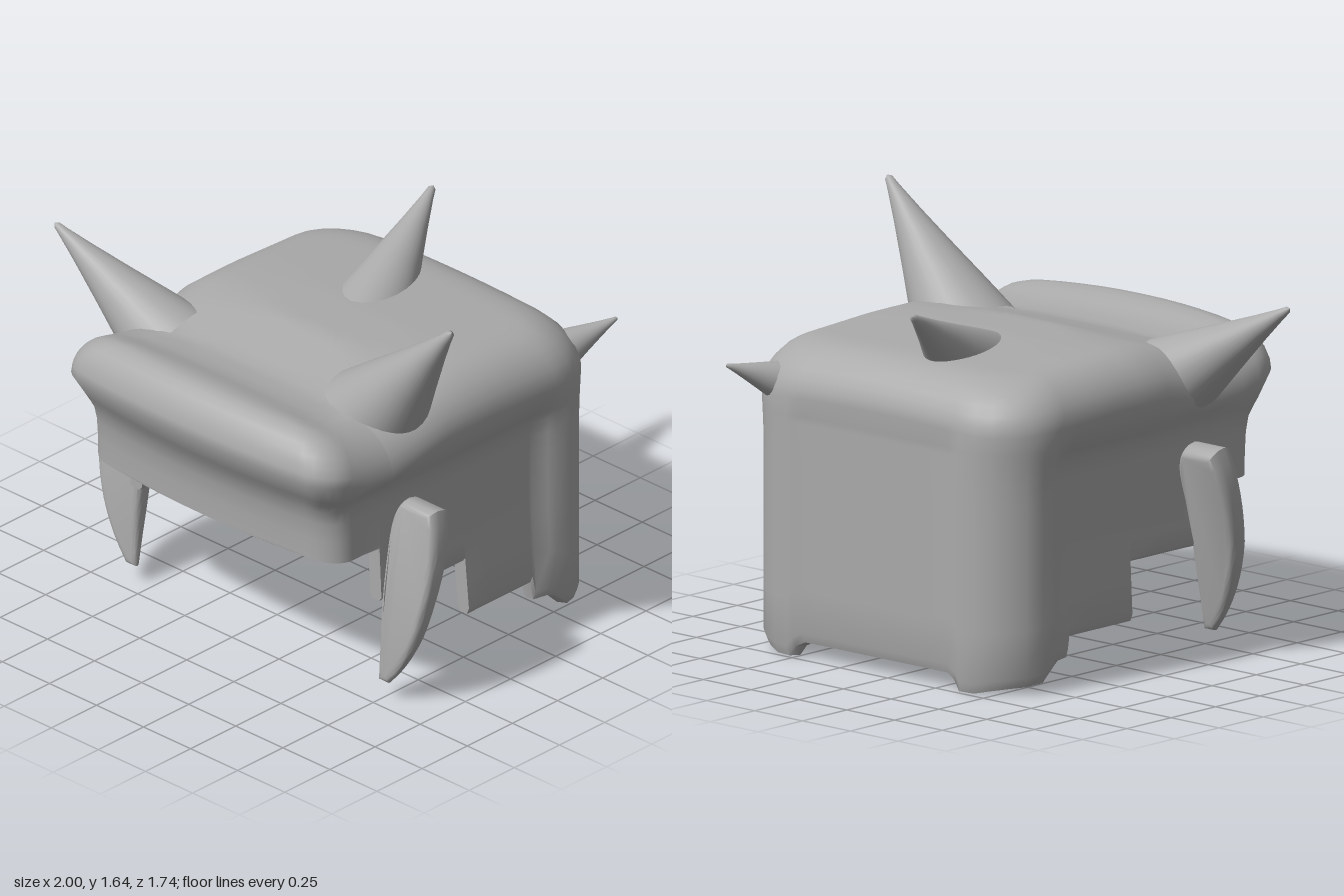
import * as THREE from 'three';
import { toCreasedNormals } from 'three/addons/utils/BufferGeometryUtils.js';

const CX = 0.09; // the helmet sits slightly off the centre line
const WALL = 0.06;

// piecewise linear curve through [t, value] pairs
function curve(pts, t) {
  if (t <= pts[0][0]) return pts[0][1];
  for (let i = 1; i < pts.length; i++) {
    const [t0, v0] = pts[i - 1], [t1, v1] = pts[i];
    if (t <= t1) return v0 + (v1 - v0) * (t - t0) / (t1 - t0);
  }
  return pts[pts.length - 1][1];
}
const smooth = THREE.MathUtils.smoothstep;

const crown = (x, z) => curve([[-0.74, 1.2], [-0.5, 1.23], [-0.1, 1.25], [0.15, 1.25], [0.3, 1.215],
  [0.45, 1.185], [0.58, 1.2], [0.7, 1.24], [0.8, 1.25], [0.87, 1.24]], z) - 0.03 * (x / 0.7) ** 2;
const browInset = y => curve([[0.65, 0.145], [0.8, 0.14], [0.88, 0.115], [0.97, 0.065], [1.05, 0.015], [1.1, 0]], y);
const sideInset = (y, z) => (0.035 + 0.025 * smooth(y, 0.1, 0.6)) * (1 - smooth(y, 0.86, 1.02)) * smooth(z, -0.52, -0.37)
  - 0.012 * (1 - smooth(z, 0.1, 0.35)) * smooth(y, 0.8, 1.05);
const backInset = (y, x) => 0.015 * (1 - smooth(y, 0.95, 1.08)) * (1 - smooth(Math.abs(x), 0.36, 0.46));
// the brow leans slightly to one side
const browShift = (y, z) => -0.02 * smooth(z, 0.3, 0.6) * (1 - smooth(y, 0.85, 1.05));

// half of the plan outline, front centre to back centre: [x, z, bottom edge height]
function halfPlan() {
  const p = [];
  for (const x of [0, 0.12, 0.24, 0.36, 0.48]) p.push([x, 0.87 - 0.13 * x * x, 0.65]);
  for (let i = 0; i <= 6; i++) {
    const a = i / 6 * Math.PI / 2;
    p.push([0.57 + 0.15 * Math.sin(a), 0.67 + 0.155 * Math.cos(a), 0.65]);
  }
  // stepped side edge
  for (const [z, b] of [[0.58, 0.65], [0.455, 0.65], [0.45, 0.42], [0.3, 0.42], [0.15, 0.42], [-0.003, 0.42],
    [-0.008, 0.19], [-0.12, 0.19], [-0.24, 0.19], [-0.36, 0.19], [-0.375, 0.11], [-0.44, 0.11]]) p.push([0.72, z, b]);
  // back corner
  [0.1, 0.04, 0.03, 0.025, 0.015, 0, 0].forEach((b, i) => {
    const a = i / 6 * Math.PI / 2;
    p.push([0.45 + 0.27 * Math.cos(a), -0.47 - 0.27 * Math.sin(a), b]);
  });
  for (const [x, b] of [[0.42, 0.04], [0.38, 0.06], [0.26, 0.06], [0.13, 0.06], [0, 0.06]]) p.push([x, -0.74, b]);
  return p;
}

// moves a plan point inward by the wall profile at height y plus an extra inset;
// frontScale squeezes everything ahead of the face plane
function wallPoint([x, z], y, extra, frontScale) {
  const px = x * (1 - (sideInset(y, z) + extra) / 0.72) + browShift(y, z);
  let pz = z;
  if (z > 0.45) pz = 0.45 + (z - 0.45) * frontScale;
  if (z < -0.3) pz = -0.3 + (z + 0.3) * (1 - (backInset(y, x) + extra) / 0.44);
  return [px, y, pz];
}

// rings of one skin, from the lower edge to the middle of the crown;
// the inner skin stops at the face plane, so the brow is solid
function skin(plan, thick) {
  const rings = [], rise = 0.17;
  const front = (y, inset) => thick ? 0.1 : 1 - (browInset(y) + inset) / 0.42;
  const wallRow = (p, y, extra) => wallPoint(p, y, extra, front(y, 0));
  for (const t of [0, 0.06, 0.35, 0.7, 1]) {
    const round = t === 0 ? (thick ? -0.012 : 0.012) : 0; // softened rim
    rings.push(plan.map(p => wallRow(p, p[2] + t * (0.66 - p[2]), thick + round)));
  }
  for (const y of [0.74, 0.82, 0.88, 0.92, 0.95]) rings.push(plan.map(p => wallRow(p, y, thick)));
  for (let i = 0; i <= 7; i++) {
    const a = i / 7 * Math.PI / 2, inward = 1 - Math.cos(a);
    rings.push(plan.map(p => {
      const [x, , z] = wallPoint(p, 1.1, thick + 0.19 * inward, front(1.1, 0.14 * inward));
      return [x, crown(x, z) - rise * (1 - Math.sin(a)) - thick * Math.sin(a), z];
    }));
  }
  const edge = rings[rings.length - 1];
  for (let i = 1; i <= 14; i++) {
    const k = 1 - i / 14;
    rings.push(edge.map(([x, , z]) => {
      const qx = x * k, qz = 0.05 + (z - 0.05) * k;
      return [qx, crown(qx, qz) - thick, qz];
    }));
  }
  return rings;
}

// hollow shell: inner skin downward, round the rim, outer skin upward
function shellGeometry() {
  const half = halfPlan();
  const plan = [...half, ...half.slice(1, -1).reverse().map(([x, z, b]) => [-x, z, b])];
  const rings = [...skin(plan, WALL).reverse(), ...skin(plan, 0)];
  const n = plan.length, index = [];
  for (let j = 0; j < rings.length - 1; j++) {
    for (let i = 0; i < n; i++) {
      const a = j * n + i, b = j * n + (i + 1) % n, c = a + n, d = b + n;
      if (j > 0) index.push(a, b, d);
      if (j < rings.length - 2) index.push(a, d, c);
    }
  }
  const g = new THREE.BufferGeometry();
  g.setAttribute('position', new THREE.Float32BufferAttribute(rings.flat(2), 3));
  g.setIndex(index);
  return toCreasedNormals(g, 0.9);
}

// straight spike with a blunt tip, from a sunken base to the tip
function spike(name, base, tip, r, material) {
  const from = new THREE.Vector3(...base), dir = new THREE.Vector3(...tip).sub(from), L = dir.length();
  const profile = [[1, 0], [0.78, 0.23], [0.53, 0.48], [0.28, 0.74], [0.12, 0.92], [0.075, 0.98], [0, 1]]
    .map(([x, y]) => new THREE.Vector2(x * r, y * L));
  const mesh = new THREE.Mesh(new THREE.LatheGeometry(profile, 28), material);
  mesh.name = name;
  mesh.position.copy(from);
  mesh.quaternion.setFromUnitVectors(new THREE.Vector3(0, 1, 0), dir.normalize());
  return mesh;
}

// curved cheek tusk, leaning forward and thinning toward the point
function tuskGeometry(side) {
  const s = new THREE.Shape();
  const m = x => side * x;
  s.moveTo(m(0.7), 0.815);
  s.lineTo(m(0.825), 0.815);
  s.bezierCurveTo(m(0.885), 0.62, m(0.86), 0.3, m(0.685), 0.105);
  s.lineTo(m(0.67), 0.105);
  s.bezierCurveTo(m(0.67), 0.3, m(0.66), 0.5, m(0.66), 0.68);
  s.quadraticCurveTo(m(0.67), 0.79, m(0.7), 0.815);
  const g = new THREE.ExtrudeGeometry(s, { depth: 0.03, bevelThickness: 0.04, bevelSize: 0.025, bevelSegments: 6, curveSegments: 16 });
  g.translate(0, 0, -0.015);
  const p = g.attributes.position;
  for (let i = 0; i < p.count; i++) {
    const y = p.getY(i), z = p.getZ(i);
    const width = curve([[0.08, 0.3], [0.3, 0.65], [0.84, 1.1]], y);
    p.setZ(i, z * width + curve([[0.08, 0.445], [0.45, 0.4], [0.84, 0.315]], y));
    p.setY(i, y + Math.min(z, 0) * 0.5 * smooth(y, 0.5, 0.84)); // top slopes down to the rear
  }
  return toCreasedNormals(g, 0.9);
}

export function createModel() {
  const group = new THREE.Group();
  group.name = 'spikedHelmet';
  const grey = new THREE.MeshStandardMaterial({ color: 0xaaaaaa });
  grey.name = 'grey';

  const shell = new THREE.Mesh(shellGeometry(), grey);
  shell.name = 'helmetShell';
  shell.position.x = CX;
  group.add(shell);

  for (const side of [1, -1]) {
    const tusk = new THREE.Mesh(tuskGeometry(side), grey);
    tusk.name = side > 0 ? 'leftTusk' : 'rightTusk';
    tusk.position.x = CX;
    group.add(tusk);
  }

  group.add(
    spike('leftHorn', [0.54, 1.09, 0.28], [0.995, 1.64, 0.32], 0.21, grey),
    spike('rightHorn', [-0.46, 1.055, 0.36], [-1, 1.41, 0.44], 0.18, grey),
    spike('crownSpike', [0.05, 1.06, -0.15], [-0.12, 1.44, -0.74], 0.2, grey),
    spike('backSpike', [0.63, 1.03, -0.6], [0.735, 1.135, -0.87], 0.1, grey),
  );
  return group;
}
